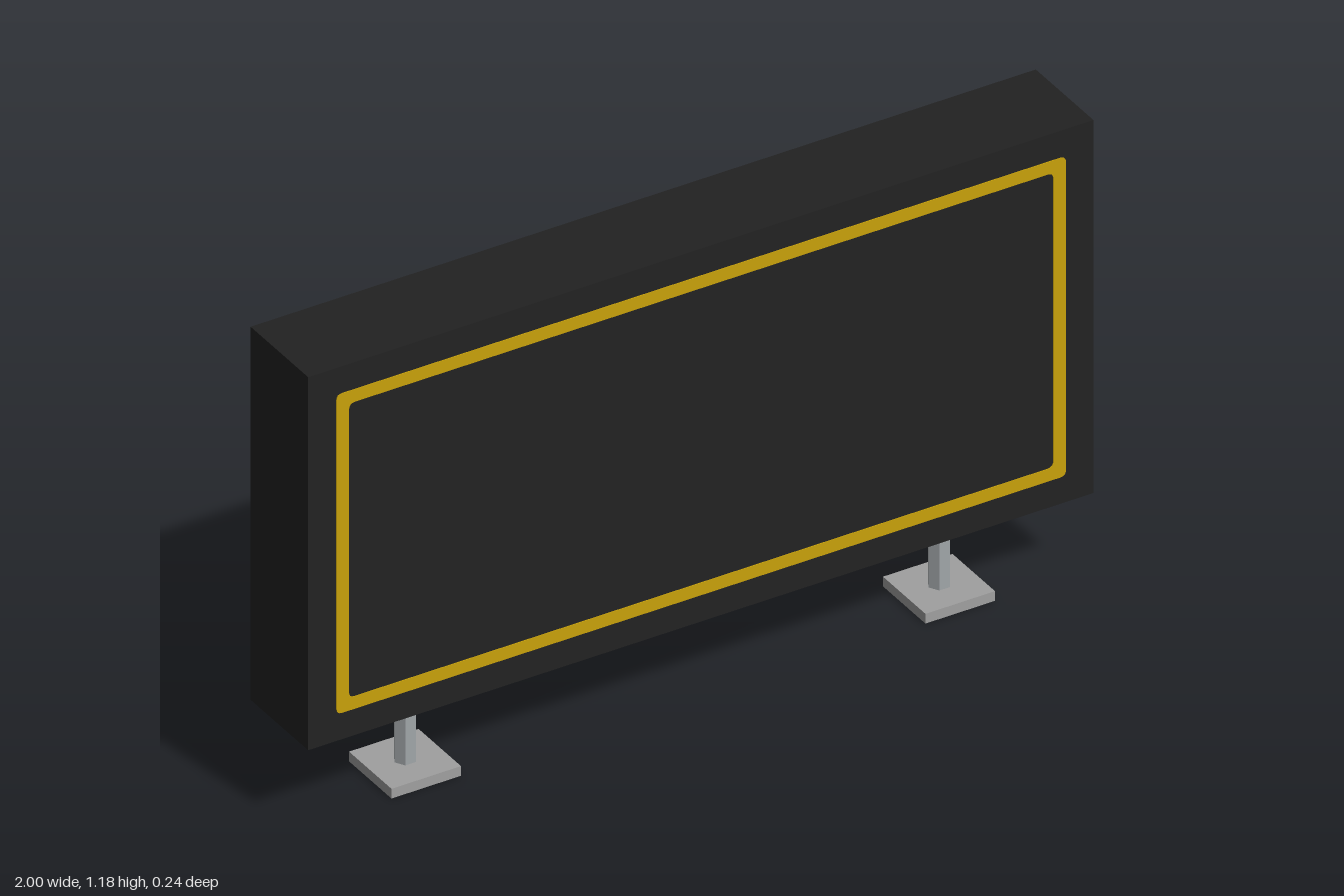
import * as THREE from 'three';

const material = (name, color) => {
  const m = new THREE.MeshStandardMaterial({ color });
  m.name = name;
  return m;
};

// Traces a centred rectangle with rounded corners onto a shape or path
function roundedRect(path, w, h, r) {
  const x = w / 2, y = h / 2;
  path.moveTo(-x + r, -y);
  path.lineTo(x - r, -y);
  path.quadraticCurveTo(x, -y, x, -y + r);
  path.lineTo(x, y - r);
  path.quadraticCurveTo(x, y, x - r, y);
  path.lineTo(-x + r, y);
  path.quadraticCurveTo(-x, y, -x, y - r);
  path.lineTo(-x, -y + r);
  path.quadraticCurveTo(-x, -y, -x + r, -y);
  return path;
}

export function createModel() {
  const group = new THREE.Group();
  group.name = 'signBoard';
  const black = material('black', 0x222222);
  const yellow = material('yellow', 0xc9a20a);
  const steel = material('steel', 0xa1a6a9);
  const grey = material('grey', 0xa0a0a0);

  const add = (name, geometry, mat, x, y, z) => {
    const mesh = new THREE.Mesh(geometry, mat);
    mesh.name = name;
    mesh.position.set(x, y, z);
    group.add(mesh);
    return mesh;
  };

  // Cabinet
  const midY = 0.698;
  add('cabinet', new THREE.BoxGeometry(2, 0.96, 0.24), black, 0, midY, 0);

  // Thin border line on both faces
  const border = roundedRect(new THREE.Shape(), 1.858, 0.822, 0.015);
  border.holes.push(roundedRect(new THREE.Path(), 1.794, 0.758, 0.015));
  const borderGeometry = new THREE.ExtrudeGeometry(border, {
    depth: 0.002, bevelEnabled: false, curveSegments: 4,
  });
  add('frontBorder', borderGeometry, yellow, 0, midY, 0.12);
  add('backBorder', borderGeometry, yellow, 0, midY, -0.12).rotation.y = Math.PI;

  // Hexagonal posts on square foot plates
  const postGeometry = new THREE.CylinderGeometry(0.027, 0.027, 0.196, 6).toNonIndexed();
  postGeometry.rotateY(Math.PI / 6);
  postGeometry.computeVertexNormals();
  const footGeometry = new THREE.BoxGeometry(0.177, 0.025, 0.177);
  for (const [side, s] of [['left', 1], ['right', -1]]) {
    add(side + 'Post', postGeometry, steel, s * 0.68, 0.121, 0);
    add(side + 'Foot', footGeometry, grey, s * 0.68, 0.0125, 0);
  }
  return group;
}
